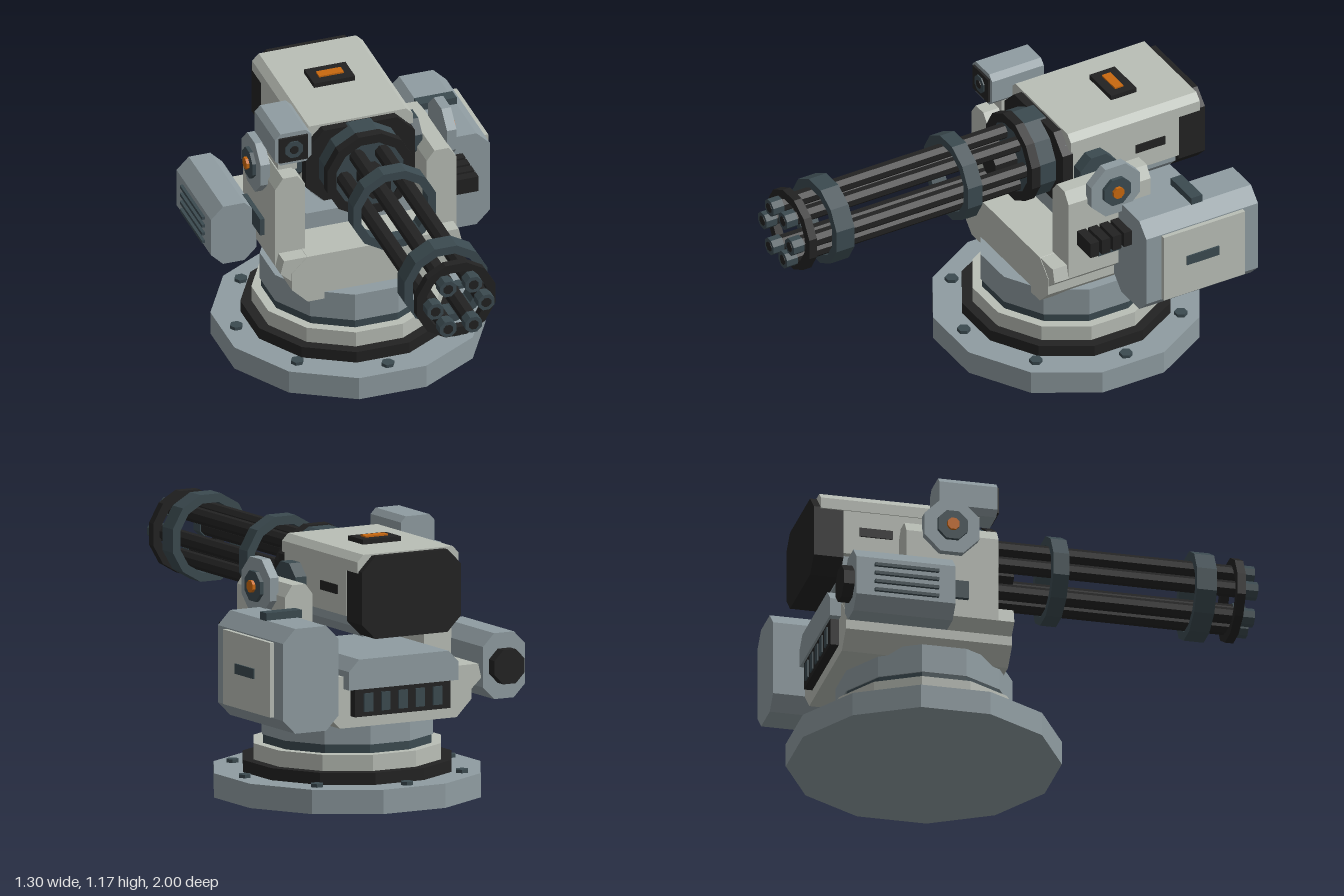
import * as THREE from 'three';

const mat = (name, color) => new THREE.MeshStandardMaterial({ name, color, flatShading: true });

export function createModel() {
  const light = mat('paleArmour', 0xb9beb6);
  const grey = mat('blueGreyArmour', 0x8f9ca1);
  const teal = mat('darkSteel', 0x3b4a50);
  const black = mat('blackMetal', 0x222222);
  const orange = mat('orangeMarker', 0xc8680f);

  const CX = -0.025, CZ = -0.432, GY = 0.925, TZ = -0.418;
  const model = new THREE.Group();
  model.name = 'rotaryTurret';

  const add = (name, geo, m, x = 0, y = 0, z = 0) => {
    const mesh = new THREE.Mesh(geo, m);
    mesh.name = name;
    mesh.position.set(x, y, z);
    model.add(mesh);
    return mesh;
  };
  // Box given by its limits
  const box = (name, m, x0, x1, y0, y1, z0, z1) =>
    add(name, new THREE.BoxGeometry(x1 - x0, y1 - y0, z1 - z0), m, (x0 + x1) / 2, (y0 + y1) / 2, (z0 + z1) / 2);
  // Front outline extruded from z0 to z1
  const prism = (name, m, pts, z0, z1) => {
    const shape = new THREE.Shape(pts.map(([x, y]) => new THREE.Vector2(x, y)));
    return add(name, new THREE.ExtrudeGeometry(shape, { depth: z1 - z0, bevelEnabled: false }), m, 0, 0, z0);
  };
  // Box with its four long edges cut: t = top cut, b = bottom cut
  const chamfered = (name, m, x0, x1, y0, y1, z0, z1, t, b = t) => {
    const pts = [];
    if (b) pts.push([x0, y0 + b], [x0 + b, y0], [x1 - b, y0], [x1, y0 + b]);
    else pts.push([x0, y0], [x1, y0]);
    if (t) pts.push([x1, y1 - t], [x1 - t, y1], [x0 + t, y1], [x0, y1 - t]);
    else pts.push([x1, y1], [x0, y1]);
    return prism(name, m, pts, z0, z1);
  };
  // Upright, forward and sideways cylinders with flats facing the axes
  const drum = (name, m, r, y0, y1, n = 12, x = CX, z = CZ) => {
    const g = new THREE.CylinderGeometry(r, r, y1 - y0, n).rotateY(Math.PI / n);
    return add(name, g, m, x, (y0 + y1) / 2, z);
  };
  const rodZ = (name, m, r, z0, z1, n, x = CX, y = GY) => {
    const g = new THREE.CylinderGeometry(r, r, z1 - z0, n).rotateY(Math.PI / n).rotateX(Math.PI / 2);
    return add(name, g, m, x, y, (z0 + z1) / 2);
  };
  const rodX = (name, m, r, x0, x1, n, y, z) => {
    const g = new THREE.CylinderGeometry(r, r, Math.abs(x1 - x0), n).rotateY(Math.PI / n).rotateZ(Math.PI / 2);
    return add(name, g, m, (x0 + x1) / 2, y, z);
  };
  // Open ring round the barrel axis
  const ringZ = (name, m, ro, ri, z0, z1, n = 12) => {
    const loop = (r) => Array.from({ length: n }, (_, i) => {
      const a = ((i + 0.5) / n) * Math.PI * 2;
      return new THREE.Vector2(r * Math.cos(a), r * Math.sin(a));
    });
    const shape = new THREE.Shape(loop(ro));
    shape.holes.push(new THREE.Path(loop(ri)));
    return add(name, new THREE.ExtrudeGeometry(shape, { depth: z1 - z0, bevelEnabled: false }), m, CX, GY, z0);
  };

  // Pedestal
  drum('basePlate', grey, 0.588, 0, 0.105);
  drum('bearingRing', black, 0.46, 0.105, 0.157);
  drum('lowerCollar', light, 0.413, 0.157, 0.227);
  drum('sealRing', teal, 0.371, 0.227, 0.265);
  drum('turntable', grey, 0.377, 0.265, 0.393);
  for (let i = 0; i < 8; i++) {
    const a = (i / 8) * Math.PI * 2;
    drum('baseBolt', teal, 0.029, 0.1, 0.12, 6, CX + 0.505 * Math.sin(a), CZ + 0.505 * Math.cos(a));
  }

  // Cradle and rear housing
  chamfered('cradle', light, -0.385, 0.335, 0.36, 0.583, -0.863, -0.134, 0.07, 0.072);
  chamfered('rearHousing', grey, -0.295, 0.245, 0.53, 0.66, -0.91, -0.35, 0.05, 0);
  box('rearVent', black, CX - 0.235, CX + 0.235, 0.41, 0.53, -0.9, -0.86);
  for (let i = -2; i <= 2; i++) {
    const x = CX + i * 0.085;
    box('ventSlat', teal, x - 0.022, x + 0.022, 0.43, 0.51, -0.907, -0.898);
  }

  // Yoke arms with trunnions, mirrored about the gun axis
  for (const s of [-1, 1]) {
    const X = (d) => CX + s * d;
    const order = (pts) => (s > 0 ? pts : pts.slice().reverse());
    prism('yokeArm', light, order([[X(0.275), 0.5], [X(0.355), 0.47], [X(0.41), 0.52], [X(0.41), 0.9],
      [X(0.375), 0.95], [X(0.31), 0.95], [X(0.275), 0.905]]), -0.61, -0.205);
    prism('yokeFoot', light, order([[X(0.28), 0.47], [X(0.355), 0.47], [X(0.41), 0.52],
      [X(0.395), 0.582], [X(0.28), 0.582]]), -0.862, -0.136);
    rodX('trunnionShaft', teal, 0.097, X(0.2), X(0.3), 8, GY, TZ);
    rodX('trunnionDisc', grey, 0.13, X(0.4), X(0.443), 8, GY, TZ);
    rodX('trunnionCap', teal, 0.07, X(0.44), X(0.46), 8, GY, TZ);
    rodX('trunnionPin', orange, 0.028, X(0.455), X(0.473), 8, GY, TZ);
    const px = [X(0.4), X(0.43)].sort((a, b) => a - b);
    box('podBracket', teal, px[0], px[1], 0.6, 0.68, -0.56, -0.34);
  }

  // Receiver
  chamfered('receiverBody', grey, CX - 0.215, CX + 0.215, 0.745, 1.06, -0.85, -0.3, 0, 0.05);
  for (const s of [-1, 1]) {
    const side = (name, m, a, b, ...r) => box(name, m, Math.min(CX + s * a, CX + s * b), Math.max(CX + s * a, CX + s * b), ...r);
    side('sidePanel', light, 0.2, 0.245, 0.84, 1.045, -0.845, -0.32);
    side('sideSlot', black, 0.244, 0.251, 0.925, 0.965, -0.775, -0.63);
  }
  chamfered('topCover', light, CX - 0.25, CX + 0.25, 1.04, 1.118, -0.945, -0.31, 0.03, 0);
  chamfered('rearCap', black, CX - 0.243, CX + 0.243, 0.755, 1.112, -0.975, -0.845, 0.065);
  chamfered('frontPlate', black, CX - 0.246, CX + 0.246, 0.76, 1.108, -0.322, -0.272, 0.08);
  box('topHatch', black, CX - 0.093, CX + 0.093, 1.115, 1.139, -0.725, -0.6);
  box('hatchMarker', orange, CX - 0.056, CX + 0.056, 1.138, 1.146, -0.682, -0.64);

  // Rotary barrel assembly
  rodZ('rotorHousing', teal, 0.194, -0.3, -0.19, 12);
  ringZ('rotorRim', black, 0.201, 0.158, -0.192, -0.15);
  rodZ('rotorFace', teal, 0.165, -0.2, -0.158, 12);
  rodZ('rotorHub', black, 0.063, -0.16, -0.05, 8);
  ringZ('rearClamp', teal, 0.194, 0.155, 0.09, 0.16);
  ringZ('frontClamp', teal, 0.194, 0.155, 0.72, 0.808);
  ringZ('muzzleRing', black, 0.184, 0.142, 0.9, 0.937);
  for (let i = 0; i < 6; i++) {
    const a = (i / 6) * Math.PI * 2;
    const x = CX + 0.115 * Math.cos(a), y = GY + 0.115 * Math.sin(a);
    rodZ('barrel', black, 0.035, -0.17, 0.95, 8, x, y);
    rodZ('muzzle', teal, 0.04, 0.945, 0.998, 8, x, y);
    rodZ('bore', black, 0.023, 0.99, 1.0, 8, x, y);
  }

  // Ammunition box on the left side
  chamfered('ammoBox', grey, 0.35, 0.623, 0.385, 0.838, -1.0, -0.45, 0.06, 0.06);
  box('ammoDoor', light, 0.62, 0.643, 0.45, 0.773, -0.925, -0.525);
  box('doorHandle', teal, 0.64, 0.65, 0.598, 0.642, -0.795, -0.635);
  box('ammoLidBar', teal, 0.39, 0.565, 0.835, 0.87, -0.76, -0.705);
  for (let i = 0; i < 4; i++) {
    const z = -0.268 - i * 0.055;
    box('coolingFin', black, 0.38, 0.5, 0.68, 0.752, z - 0.021, z + 0.021);
  }

  // Drive motor on the right side
  chamfered('motorPod', grey, -0.64, -0.433, 0.425, 0.71, -0.88, -0.445, 0.055);
  rodZ('motorCap', black, 0.08, -0.928, -0.878, 8, -0.536, 0.568);
  for (let i = 0; i < 4; i++) {
    const y = 0.505 + i * 0.039;
    box('motorLouvre', teal, -0.654, -0.638, y - 0.007, y + 0.007, -0.8, -0.52);
  }

  // Sight unit above the right arm
  box('sightPost', light, -0.395, -0.31, 0.94, 1.02, -0.44, -0.28);
  chamfered('sightBody', grey, -0.435, -0.27, 1.015, 1.17, -0.465, -0.21, 0.025);
  box('sightBezel', black, -0.418, -0.288, 1.032, 1.15, -0.215, -0.199);
  rodZ('sightRing', teal, 0.042, -0.2, -0.193, 8, -0.353, 1.092);
  rodZ('sightLens', black, 0.02, -0.194, -0.189, 8, -0.353, 1.092);

  return model;
}
